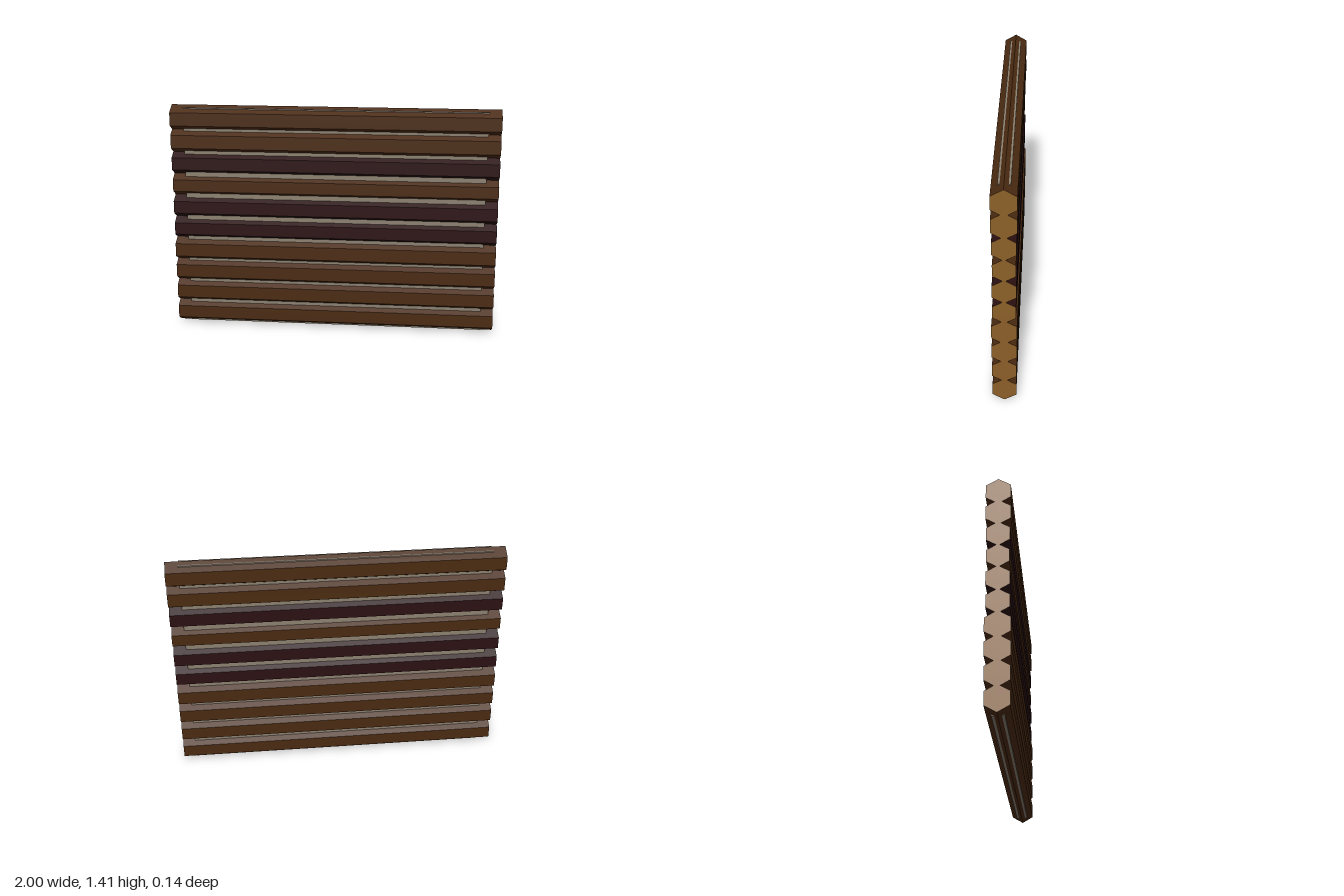
import * as THREE from 'three';

export function createModel() {
  const wall = new THREE.Group();
  wall.name = 'logWall';

  const mat = (name, color) => {
    const m = new THREE.MeshStandardMaterial({ color });
    m.name = name;
    return m;
  };
  const bark = mat('brownBark', 0x4a2a10);
  const darkBark = mat('darkBark', 0x2c1012);
  const endGrain = mat('endGrain', 0x8b5f28);
  const mortar = mat('mortar', 0x8b8070);

  // Six-sided log along x, with ridges at top and bottom and faceted normals
  const makeLog = (radius) => {
    const g = new THREE.CylinderGeometry(radius, radius, 2, 6)
      .rotateY(Math.PI / 6)
      .rotateZ(Math.PI / 2)
      .toNonIndexed();
    g.computeVertexNormals();
    return g;
  };

  // Stacked logs, bottom to top, slightly overlapping
  const radii = [0.078, 0.08, 0.081, 0.082, 0.0745, 0.0765, 0.073, 0.0765, 0.081, 0.081];
  const darkLogs = [4, 5, 7];
  radii.forEach((radius, i) => {
    const side = darkLogs.includes(i) ? darkBark : bark;
    const log = new THREE.Mesh(makeLog(radius), [side, endGrain, endGrain]);
    log.name = `log${i + 1}`;
    log.position.y = 0.078 + 0.139 * i;
    wall.add(log);
  });

  // Mortar core showing in the gaps between the logs
  const core = new THREE.Mesh(new THREE.BoxGeometry(1.85, 1.385, 0.07), mortar);
  core.name = 'mortarCore';
  core.position.y = 0.704;
  wall.add(core);

  return wall;
}
